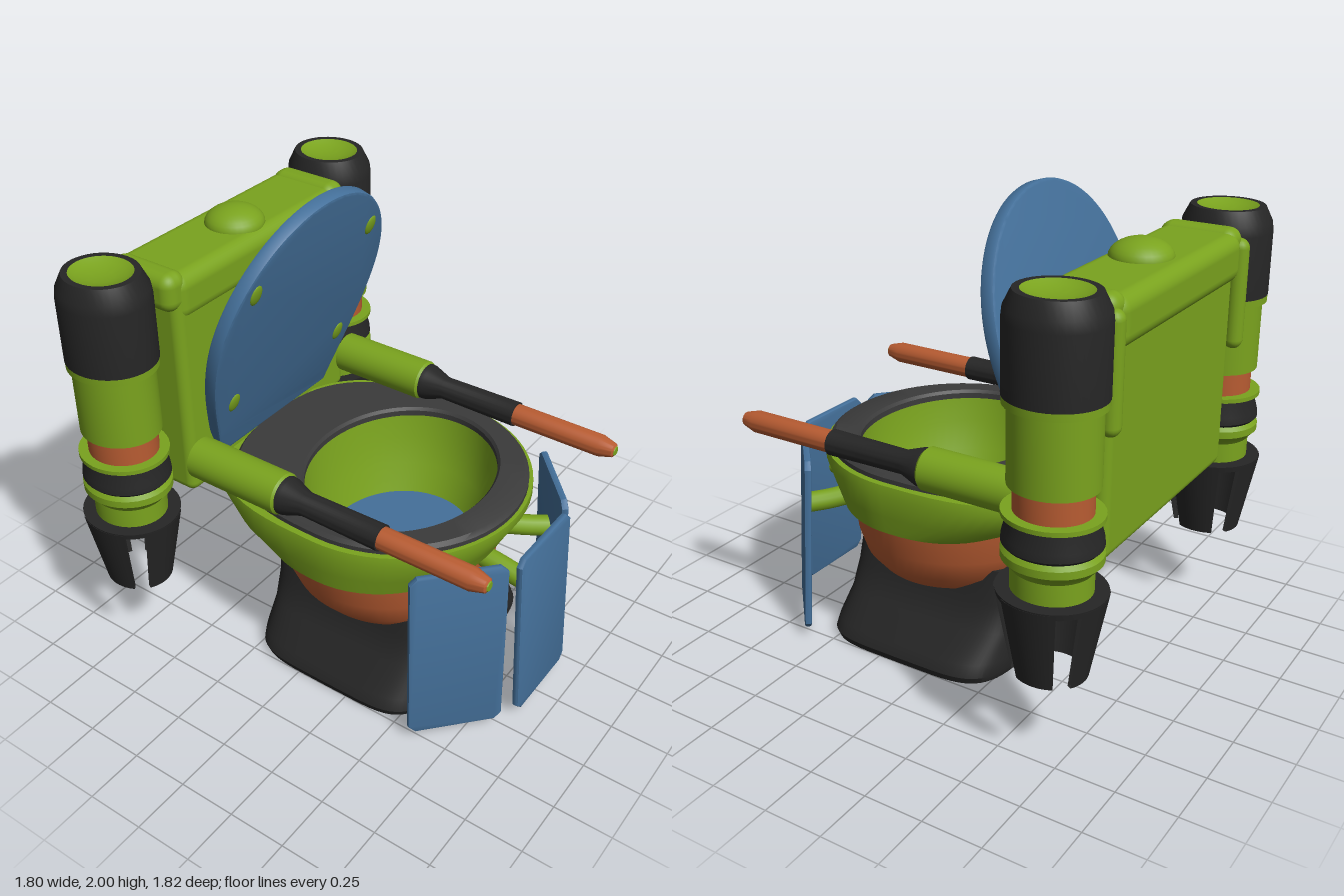
import * as THREE from 'three';
import { toCreasedNormals } from 'three/addons/utils/BufferGeometryUtils.js';
import { RoundedBoxGeometry } from 'three/addons/geometries/RoundedBoxGeometry.js';

const mat = (color) => new THREE.MeshStandardMaterial({ color, side: THREE.DoubleSide });
const GREEN = mat(0x7aa31e), BLACK = mat(0x262626), SEAT = mat(0x3b3b3b);
const BLUE = mat(0x44709a), ORANGE = mat(0xb85c32);

function add(parent, name, geometry, material, x = 0, y = 0, z = 0) {
  const mesh = new THREE.Mesh(geometry, material);
  mesh.name = name;
  mesh.position.set(x, y, z);
  parent.add(mesh);
  return mesh;
}

// Skin through stacked outlines: [y, half width, front z, back z, middle z, front power, back power]
function loft(rings, n = 64) {
  const pos = [], idx = [];
  const bend = (v, e) => Math.sign(v) * Math.abs(v) ** (2 / e);
  for (const [y, rx, zf, zb, zc, ef = 2, eb = 2] of rings) {
    for (let j = 0; j < n; j++) {
      const t = (j / n) * Math.PI * 2, c = Math.cos(t), s = Math.sin(t);
      const e = s >= 0 ? ef : eb;
      pos.push(rx * bend(c, e), y, zc + (s >= 0 ? zf - zc : zc - zb) * bend(s, e));
    }
  }
  for (let i = 0; i < rings.length - 1; i++) {
    for (let j = 0; j < n; j++) {
      const a = i * n + j, b = i * n + (j + 1) % n;
      idx.push(a, a + n, b, b, a + n, b + n);
    }
  }
  const g = new THREE.BufferGeometry();
  g.setAttribute('position', new THREE.Float32BufferAttribute(pos, 3));
  g.setIndex(idx);
  return toCreasedNormals(g, 0.6);
}

// Turned part from [radius, y] points, bottom to top
function lathe(points, start = 0, length = Math.PI * 2, segments = 40) {
  const g = new THREE.LatheGeometry(points.map((p) => new THREE.Vector2(...p)), segments, start, length);
  return toCreasedNormals(g, 0.5);
}

function plate(shape, depth, bevel) {
  return toCreasedNormals(new THREE.ExtrudeGeometry(shape, {
    depth: depth - 2 * bevel, bevelEnabled: true, bevelSize: bevel, bevelThickness: bevel,
    bevelOffset: -bevel, bevelSegments: 2, curveSegments: 32,
  }).translate(0, 0, bevel), 0.5);
}

function buildBowl(root) {
  add(root, 'base', loft([
    [0, 0, 0.15, 0.15, 0.15],
    [0, 0.5, 0.57, -0.28, 0.15, 5, 5],
    [0.03, 0.51, 0.58, -0.29, 0.15, 5, 5],
    [0.08, 0.49, 0.57, -0.29, 0.15, 5, 5],
    [0.18, 0.38, 0.55, -0.29, 0.15, 6, 6],
    [0.3, 0.33, 0.53, -0.285, 0.15, 7, 7],
    [0.45, 0.31, 0.51, -0.285, 0.15, 7, 7],
    [0.45, 0, 0.15, 0.15, 0.15],
  ]), BLACK);

  // full, rounded belly that the corners of the base clasp
  add(root, 'lowerBowl', loft([
    [0.25, 0, 0.15, 0.15, 0.15],
    [0.26, 0.16, 0.32, 0, 0.15],
    [0.285, 0.28, 0.43, -0.1, 0.15],
    [0.33, 0.38, 0.52, -0.2, 0.15],
    [0.4, 0.44, 0.565, -0.28, 0.15],
    [0.5, 0.48, 0.588, -0.325, 0.15],
    [0.65, 0.5, 0.6, -0.345, 0.15],
  ]), ORANGE);

  // outer shell, rim and inner basin in one skin
  add(root, 'upperBowl', loft([
    [0.64, 0.42, 0.57, -0.32, 0.12],
    [0.64, 0.555, 0.63, -0.3, 0.15, 2, 2.6],
    [0.72, 0.57, 0.67, -0.47, 0.15, 2, 2.8],
    [0.82, 0.583, 0.725, -0.53, 0.15, 2, 3],
    [0.86, 0.575, 0.725, -0.53, 0.15, 2, 3],
    [0.865, 0.45, 0.57, -0.2, 0.185],
    [0.75, 0.435, 0.56, -0.185, 0.185],
    [0.62, 0.395, 0.53, -0.16, 0.185],
    [0.5, 0.34, 0.49, -0.13, 0.18],
  ]), GREEN);
  const water = add(root, 'water', new THREE.CircleGeometry(1, 48).rotateX(-Math.PI / 2), BLUE, 0, 0.502, 0.18);
  water.scale.set(0.345, 1, 0.315);

  const hole = [0.445, 0.565, -0.195, 0.185], rim = [0.55, 0.71, -0.5, 0.15, 2, 2.6];
  add(root, 'seat', loft([
    [0.855, ...hole], [0.855, ...rim], [0.88, ...rim], [0.893, 0.535, 0.69, -0.49, 0.15, 2, 2.6],
    [0.893, 0.455, 0.575, -0.205, 0.185], [0.88, ...hole], [0.855, ...hole],
  ]), SEAT);
}

function buildLid(root) {
  const lid = new THREE.Group();
  lid.name = 'lid';
  lid.position.set(0, 0.9, -0.545);
  lid.rotation.x = 0.29;
  root.add(lid);
  const s = new THREE.Shape();
  s.moveTo(-0.36, 0);
  s.lineTo(0.36, 0);
  s.bezierCurveTo(0.42, 0.2, 0.523, 0.4, 0.523, 0.62);
  s.absellipse(0, 0.62, 0.523, 0.53, 0, Math.PI);
  s.bezierCurveTo(-0.523, 0.4, -0.42, 0.2, -0.36, 0);
  add(lid, 'lidPanel', plate(s, 0.06, 0.012), BLUE);
  for (const [x, y] of [[0.37, 0.875], [0.352, 0.3]]) {
    for (const side of [1, -1]) {
      const pad = add(lid, 'lidPad', new THREE.SphereGeometry(1, 16, 10), GREEN, side * x, y, 0.058);
      pad.scale.set(0.034, 0.047, 0.012);
    }
  }
}

function buildTank(root) {
  add(root, 'tank', new RoundedBoxGeometry(1.06, 0.93, 0.31, 4, 0.04), GREEN, 0, 1.235, -0.655);
  add(root, 'tankLid', new RoundedBoxGeometry(1.05, 0.2, 0.355, 4, 0.06), GREEN, 0, 1.67, -0.668);
  const knob = add(root, 'tankKnob', new THREE.SphereGeometry(0.125, 32, 16), GREEN, 0, 1.765, -0.65);
  knob.scale.y = 0.6;
  for (const side of [1, -1]) {
    add(root, 'tankBracket', new RoundedBoxGeometry(0.12, 0.16, 0.33, 4, 0.05), GREEN, side * 0.505, 1.705, -0.665);
    add(root, 'tankBar', new THREE.CapsuleGeometry(0.04, 0.38, 6, 16), GREEN, side * 0.54, 1.51, -0.82);
  }
}

function buildJet(root, side) {
  const jet = new THREE.Group();
  jet.name = side > 0 ? 'leftJet' : 'rightJet';
  jet.position.set(side * 0.703, 0, -0.695);
  jet.scale.x = 0.92;
  root.add(jet);
  add(jet, 'jetNozzleTop', lathe([[0, 0.7], [0.205, 0.71], [0.21, 0.735], [0.15, 0.735]]), BLACK);
  add(jet, 'jetNeck', lathe([[0.155, 0.73], [0.155, 0.82], [0.17, 0.84], [0.19, 0.86], [0.19, 0.89],
    [0.175, 0.91], [0.1, 0.91]]), GREEN);
  add(jet, 'jetCollar', lathe([[0.17, 0.9], [0.188, 0.92], [0.185, 0.95], [0.165, 1.02], [0.165, 1.03]]), BLACK);
  add(jet, 'jetRing', lathe([[0.14, 1.022], [0.19, 1.022], [0.19, 1.04], [0.13, 1.04]]), GREEN);
  add(jet, 'jetBand', lathe([[0.148, 1.035], [0.148, 1.15]]), ORANGE);
  add(jet, 'jetBody', lathe([[0.13, 1.14], [0.17, 1.14], [0.17, 1.43], [0.188, 1.435], [0.188, 1.47],
    [0.15, 1.475]]), GREEN);
  add(jet, 'jetCap', lathe([[0.16, 1.465], [0.19, 1.465], [0.19, 1.73], [0.185, 1.77], [0.155, 1.83],
    [0.128, 1.83]]), BLACK);
  add(jet, 'jetIntake', lathe([[0.13, 1.83], [0.1, 1.815], [0.05, 1.805], [0, 1.803]]), GREEN);
  // four tapered blades around the exhaust
  for (let i = 0; i < 4; i++) {
    add(jet, 'jetBlade', lathe([[0.185, 0.72], [0.125, 0.39], [0.145, 0.39], [0.212, 0.73], [0.185, 0.72]],
      i * Math.PI / 2 - 0.55, 1.1, 8), BLACK);
  }
}

function buildArm(root, side) {
  const arm = new THREE.Group();
  arm.name = side > 0 ? 'leftArmCannon' : 'rightArmCannon';
  arm.position.set(side * 0.508 + 0.01, 0.957, 0);
  arm.rotation.x = Math.PI / 2;
  root.add(arm);
  add(arm, 'armHousing', lathe([[0, -0.47], [0.088, -0.47], [0.088, -0.04], [0.07, -0.02]]), GREEN);
  add(arm, 'armSleeve', lathe([[0.08, -0.03], [0.078, -0.01], [0.05, 0.07], [0.054, 0.43], [0.03, 0.43]]), BLACK);
  add(arm, 'armBarrel', lathe([[0.047, 0.42], [0.047, 0.83], [0.03, 0.89], [0.02, 0.897]]), ORANGE);
  add(arm, 'armTip', lathe([[0.022, 0.895], [0.018, 0.9], [0, 0.9]]), GREEN);
}

function buildShield(root, name, angle, z) {
  const pivot = new THREE.Group();
  pivot.name = name;
  pivot.position.set(0.008, 0, z);
  pivot.rotation.y = angle;
  root.add(pivot);
  // rectangle with clipped corners
  const w = 0.198, h = 0.395, c = 0.03;
  const s = new THREE.Shape([[w - c, -h], [w, c - h], [w, h - c], [w - c, h],
    [c - w, h], [-w, h - c], [-w, c - h], [c - w, -h]].map((p) => new THREE.Vector2(...p)));
  add(pivot, 'shieldPanel', plate(s, 0.03, 0.008), BLUE, 0, 0.435, 0.56).rotation.x = -0.05;
  const path = new THREE.CatmullRomCurve3([[0, 0.61, 0.2], [0, 0.59, 0.36], [0, 0.57, 0.47], [0, 0.56, 0.565]]
    .map((p) => new THREE.Vector3(...p)));
  add(pivot, 'shieldStrut', new THREE.TubeGeometry(path, 12, 0.045, 14), GREEN);
}

export function createModel() {
  const root = new THREE.Group();
  root.name = 'armouredToilet';
  buildBowl(root);
  buildLid(root);
  buildTank(root);
  for (const side of [1, -1]) {
    buildJet(root, side);
    buildArm(root, side);
    buildShield(root, side > 0 ? 'leftShield' : 'rightShield', side * 0.74, 0.285);
  }
  buildShield(root, 'frontShield', 0, 0.3);
  return root;
}
